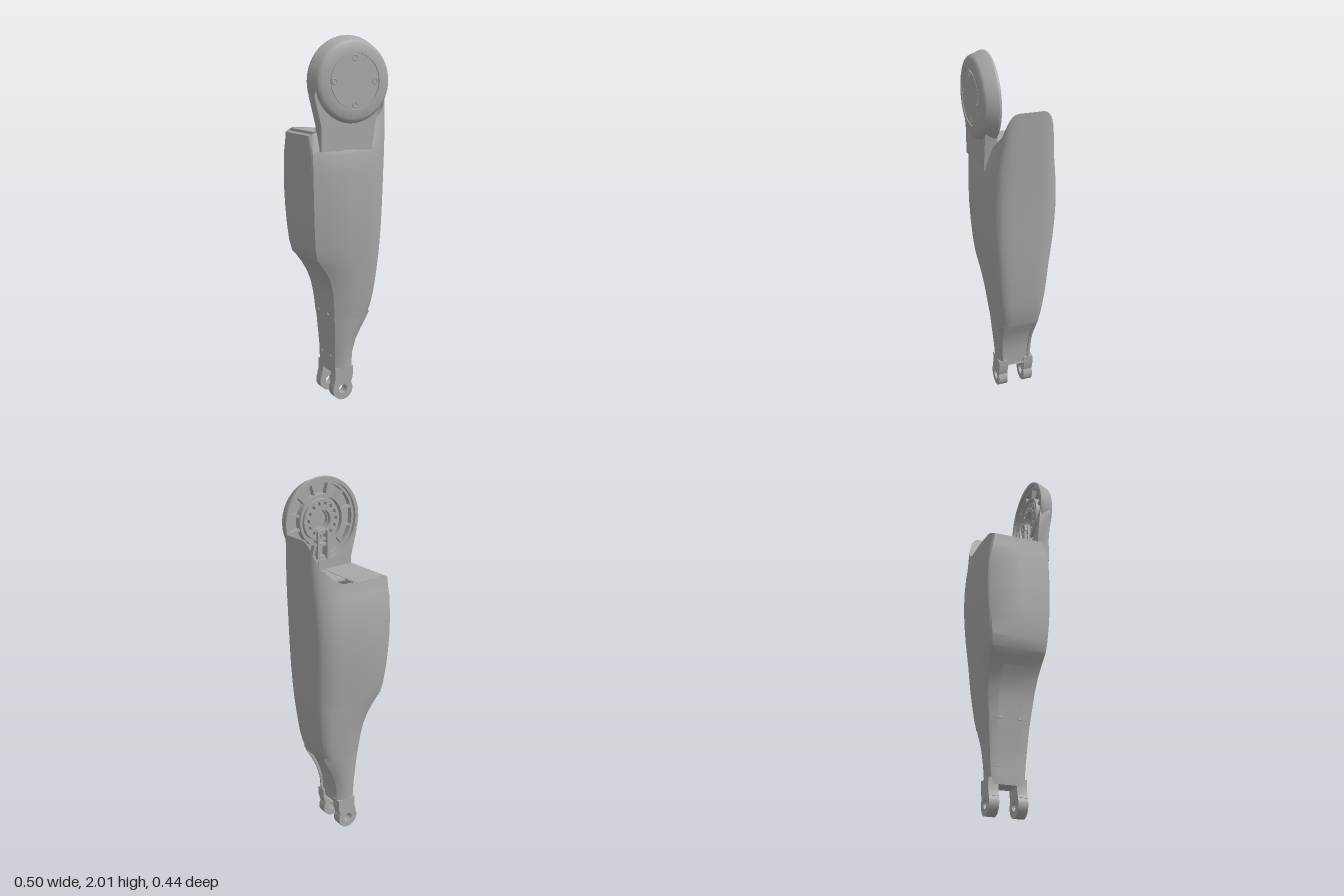
import * as THREE from 'three';
import { toCreasedNormals } from 'three/addons/utils/BufferGeometryUtils.js';

const grey = new THREE.MeshStandardMaterial({ color: 0xa8a8a8, side: THREE.DoubleSide });
grey.name = 'plain grey';

const V = (x, y) => new THREE.Vector2(x, y);
const AX = -0.02, AY = 1.775; // hub axis

// Linear interpolation through [x, y] pairs
function lerpTable(t, x) {
  if (x <= t[0][0]) return t[0][1];
  for (let i = 1; i < t.length; i++) {
    if (x <= t[i][0]) {
      const [x0, y0] = t[i - 1], [x1, y1] = t[i];
      return y0 + (y1 - y0) * (x - x0) / (x1 - x0);
    }
  }
  return t[t.length - 1][1];
}

// Height of the shell's top edge: low deck rising into a fin on the left
const TOP = [[-0.25, 1.495], [-0.2, 1.52], [-0.02, 1.51], [0.07, 1.52], [0.12, 1.545],
  [0.2, 1.62], [0.22, 1.67], [0.245, 1.75]];

// Surface from mirrored half sections; each row is [y, xMin, xMax, zMin, zMax]
function loft(rows, half) {
  const ring = [...half.map(p => [p.x, p.y]),
    ...half.slice(1, -1).reverse().map(p => [p.x, -p.y])];
  const n = ring.length, pos = [], idx = [];
  for (const [y, x0, x1, z0, z1] of rows) {
    const cz = (z0 + z1) / 2, hz = (z1 - z0) / 2;
    for (const [u, v] of ring) {
      const x = (x0 + x1) / 2 + u * (x1 - x0) / 2;
      const yy = y > 1.4 ? 1.4 + (y - 1.4) / 0.35 * (lerpTable(TOP, x) - 1.4) : y;
      pos.push(x, yy, cz + v * hz);
    }
  }
  for (let j = 0; j < rows.length - 1; j++) {
    for (let i = 0; i < n; i++) {
      const a = j * n + i, b = j * n + (i + 1) % n;
      idx.push(a, b, b + n, a, b + n, a + n);
    }
  }
  // bottom cap joins the mirrored halves
  for (let i = 0; i < half.length - 1; i++) {
    const a = i, b = i + 1, c = (n - b) % n, d = (n - a) % n;
    idx.push(a, c, b, a, d, c);
  }
  return surface(pos, idx);
}

function surface(pos, idx) {
  const g = new THREE.BufferGeometry();
  g.setAttribute('position', new THREE.Float32BufferAttribute(pos, 3));
  g.setIndex(idx);
  return toCreasedNormals(g, 0.6);
}

// Surface swept in z along an xy path between two z limits
function sweep(path, zBack, zFront) {
  const pos = [], idx = [];
  path.forEach(([x, y], i) => {
    pos.push(x, y, zBack(x), x, y, zFront(x));
    if (i) { const k = 2 * i; idx.push(k - 2, k - 1, k + 1, k - 2, k + 1, k); }
  });
  return surface(pos, idx);
}

function plate(shape, depth, z) {
  const g = new THREE.ExtrudeGeometry(shape, { depth, bevelEnabled: false, curveSegments: 24 });
  return toCreasedNormals(g.translate(0, 0, z), 0.6);
}

const circle = (x, y, r) => new THREE.Path().absarc(x, y, r, 0, Math.PI * 2, true);

export function createModel() {
  const model = new THREE.Group();
  const add = (name, geo, parent = model) => {
    const m = new THREE.Mesh(geo, grey);
    m.name = name;
    parent.add(m);
    return m;
  };

  // Main shell: crisp edges on the right, rounded on the left
  const half = [V(-1, 0), V(-1, 0.8), ...new THREE.SplineCurve([V(-0.97, 0.85), V(-0.6, 0.95),
    V(-0.2, 1), V(0.2, 0.985), V(0.5, 0.95), V(0.72, 0.88), V(0.9, 0.74), V(0.98, 0.55),
    V(1, 0.3)]).getPoints(32), V(1, 0)];
  const top = [1.75, -0.242, 0.246, -0.18, 0.155];
  add('shell', loft([
    [0.48, -0.086, 0.143, -0.135, 0.128], [0.54, -0.09, 0.163, -0.143, 0.138],
    [0.6, -0.097, 0.176, -0.15, 0.147], [0.66, -0.108, 0.184, -0.158, 0.155],
    [0.72, -0.13, 0.191, -0.166, 0.163], [0.77, -0.158, 0.196, -0.172, 0.17],
    [0.81, -0.187, 0.2, -0.177, 0.176], [0.84, -0.212, 0.202, -0.181, 0.18],
    [0.9, -0.226, 0.206, -0.189, 0.187], [1, -0.235, 0.21, -0.202, 0.196],
    [1.1, -0.24, 0.213, -0.211, 0.202], [1.2, -0.243, 0.216, -0.216, 0.204],
    [1.3, -0.244, 0.22, -0.213, 0.202], [1.4, -0.244, 0.225, -0.204, 0.198],
    [1.52, -0.243, 0.232, -0.194, 0.186], [1.64, -0.242, 0.24, -0.186, 0.17], top], half));

  // Lower leg with a recessed left face
  const legHalf = [V(-1, 0), V(-1, 0.75), V(-0.95, 0.86), V(-0.6, 0.95), V(-0.2, 1), V(0.2, 0.985),
    V(0.5, 0.94), V(0.75, 0.87), V(1, 0.77), V(1, 0.68), V(0.8, 0.66), V(0.78, 0)];
  add('lowerLeg', loft([
    [0.155, -0.066, 0.046, -0.112, 0.096], [0.2, -0.068, 0.047, -0.113, 0.097],
    [0.27, -0.068, 0.05, -0.118, 0.103], [0.34, -0.073, 0.067, -0.123, 0.111],
    [0.4, -0.078, 0.094, -0.128, 0.118], [0.45, -0.082, 0.122, -0.132, 0.124],
    [0.5, -0.088, 0.145, -0.136, 0.129]], legHalf));

  // Deck inside the top edge, with a slot and a central pocket
  const edge = half.slice(1, -1).map(p => [p.x, p.y]);
  const [, x0, x1, z0, z1] = top;
  const depth = x => lerpTable(edge, (x - (x0 + x1) / 2) / ((x1 - x0) / 2)) * (z1 - z0) / 2;
  const zc = (z0 + z1) / 2;
  const deckPath = [[-0.242, 1.499], [-0.225, 1.507], [-0.225, 1.42], [-0.205, 1.42], [-0.205, 1.517],
    [-0.1, 1.515], [-0.021, 1.51], [-0.021, 1.44], [0.069, 1.44], [0.069, 1.52], [0.12, 1.545],
    [0.16, 1.5825], [0.2, 1.62], [0.21, 1.645], [0.22, 1.67], [0.233, 1.711], [0.246, 1.75]];
  add('deck', sweep(deckPath, x => zc - depth(x), x => zc + depth(x)));

  // Channel cover with cable opening and screw holes
  const cover = new THREE.Shape([V(-0.021, -0.13), V(0.069, -0.13), V(0.069, 0.175), V(-0.021, 0.175)]);
  cover.holes.push(new THREE.Path([V(-0.017, 0.08), V(-0.017, 0.148), V(0.066, 0.148), V(0.066, 0.08)]),
    circle(0.002, 0.162, 0.008), circle(0.044, 0.162, 0.008), circle(0.01, -0.075, 0.008));
  add('channelCover', plate(cover, 0.008, 0).rotateX(-Math.PI / 2).translate(0, 1.5, 0));

  // Neck carrying the hub
  const neck = new THREE.Shape([V(-0.2, 1.42), V(0.1, 1.42), V(0.12, 1.56)]);
  neck.absarc(AX, AY, 0.215, -0.78, -2.95, true);
  neck.lineTo(-0.238, 1.7);
  neck.lineTo(-0.2, 1.55);
  add('neck', plate(neck, 0.065, 0.125));

  // Round hub housing, hollow at the back
  const hub = new THREE.Group();
  hub.name = 'hub';
  hub.position.set(AX, AY, 0);
  model.add(hub);
  const profile = [[0, 0.185], [0.05, 0.185], [0.05, 0.165], [0.125, 0.165], [0.125, 0.135],
    [0.14, 0.135], [0.14, 0.175], [0.196, 0.175], [0.196, 0.145], [0.21, 0.145], [0.21, 0.128],
    [0.23, 0.128], [0.232, 0.14], [0.211, 0.198], [0.203, 0.207], [0.19, 0.212], [0.165, 0.217],
    [0.144, 0.219], [0.144, 0.212], [0.138, 0.212], [0.138, 0.218], [0, 0.218]];
  add('hubHousing', toCreasedNormals(new THREE.LatheGeometry(profile.map(p => V(...p)), 72)
    .rotateX(Math.PI / 2), 0.5), hub);

  // Ribs and drilled bearing ring on the back of the hub
  for (let i = 0; i < 12; i++) {
    const a = (i + 0.5) / 12 * Math.PI * 2;
    add('rib', new THREE.BoxGeometry(0.06, 0.014, 0.03).translate(0.168, 0, 0.162).rotateZ(a), hub);
  }
  const bearing = new THREE.Shape().absarc(0, 0, 0.112, 0, Math.PI * 2);
  bearing.holes.push(circle(0, 0, 0.055));
  for (let i = 0; i < 14; i++) {
    const a = i / 14 * Math.PI * 2;
    bearing.holes.push(circle(Math.cos(a) * 0.086, Math.sin(a) * 0.086, 0.012));
  }
  add('bearingRing', plate(bearing, 0.025, 0.14), hub);
  for (const s of [-1, 1]) {
    add('cableRail', new THREE.BoxGeometry(0.012, 0.2, 0.045).translate(s * 0.03, -0.155, 0.147), hub);
  }

  // Four screws on the hub cap
  for (let i = 0; i < 4; i++) {
    const a = i * Math.PI / 2;
    add('hubScrew', new THREE.TorusGeometry(0.014, 0.004, 8, 20)
      .translate(Math.cos(a) * 0.118, Math.sin(a) * 0.118, 0.217), hub);
  }

  // Fork prongs with pin holes
  const prong = new THREE.Shape([V(-0.066, 0.19), V(-0.066, 0.13), V(-0.075, 0.095)]);
  prong.absarc(-0.02, 0.062, 0.062, 2.6, 0.54 + Math.PI * 2);
  prong.lineTo(0.046, 0.14);
  prong.lineTo(0.046, 0.19);
  prong.holes.push(circle(-0.02, 0.062, 0.026));
  for (const z of [0.042, -0.112]) add('forkProng', plate(prong, 0.053, z));

  // Access panel and its screws on the right face
  const panelPath = [[-0.071, 0.2], [-0.071, 0.27], [-0.076, 0.34], [-0.081, 0.4], [-0.09, 0.48],
    [-0.1, 0.6], [-0.111, 0.66], [-0.133, 0.72], [-0.161, 0.77]];
  add('accessPanel', sweep(panelPath, () => -0.07, () => 0.06));
  for (const [x, y] of [[-0.071, 0.25], [-0.092, 0.5]]) {
    for (const z of [-0.058, 0.048]) {
      add('panelScrew', new THREE.CylinderGeometry(0.009, 0.009, 0.008, 16)
        .rotateZ(Math.PI / 2).translate(x, y, z));
    }
  }
  return model;
}
